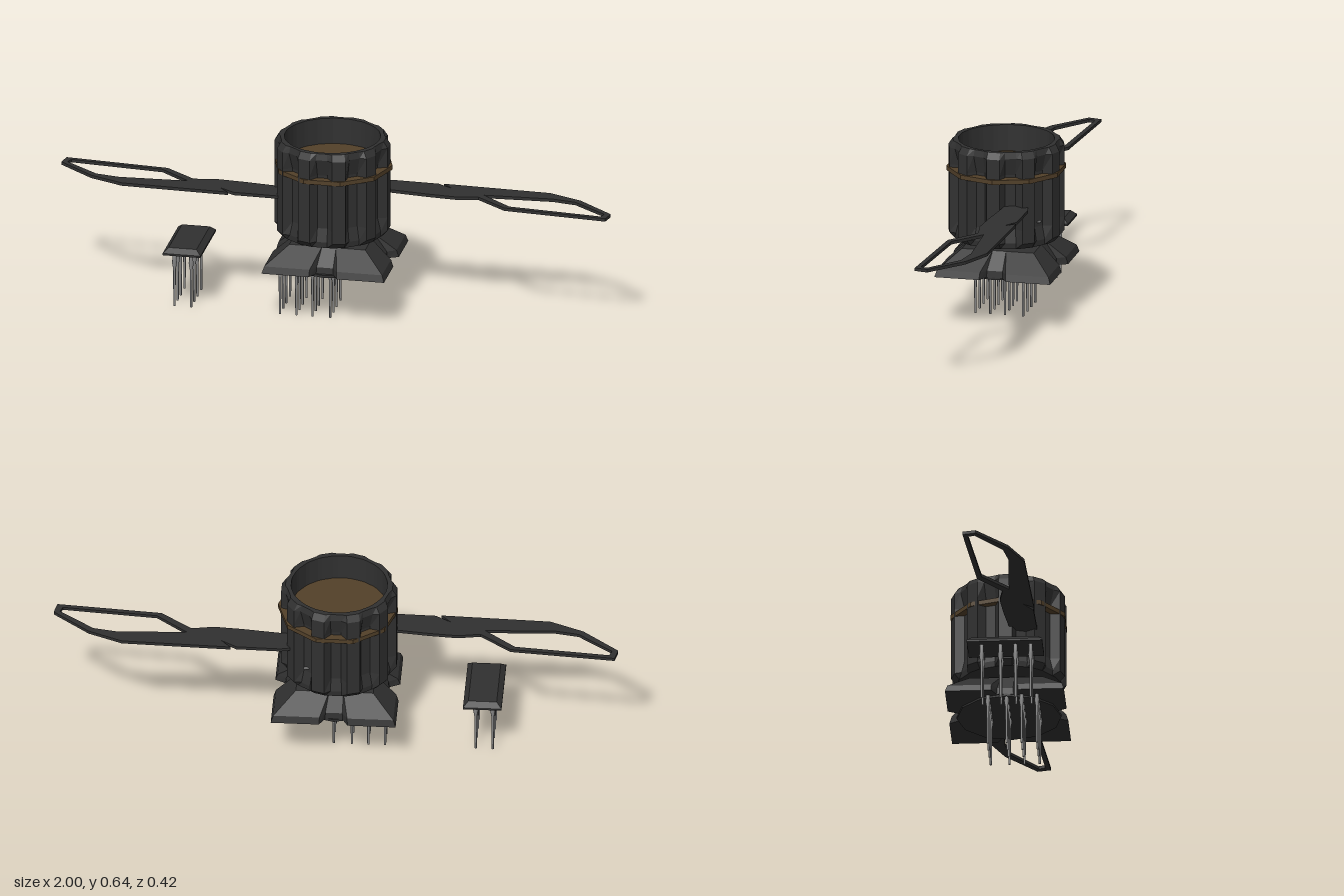
import * as THREE from 'three';

const dark = new THREE.MeshStandardMaterial({ color: 0x303030 });
dark.name = 'charcoal';
const brown = new THREE.MeshStandardMaterial({ color: 0x524029 });
brown.name = 'brown';
const grey = new THREE.MeshStandardMaterial({ color: 0x858585 });
grey.name = 'pinGrey';

function add(parent, name, geometry, material, x = 0, y = 0, z = 0) {
  const mesh = new THREE.Mesh(geometry, material);
  mesh.name = name;
  mesh.position.set(x, y, z);
  parent.add(mesh);
  return mesh;
}

// Faceted skin through equal-length loops of [x, y, z], counterclockwise from above
function loft(loops) {
  const pos = [];
  for (let i = 0; i < loops.length - 1; i++) {
    const a = loops[i], b = loops[i + 1], n = a.length;
    for (let j = 0; j < n; j++) {
      const k = (j + 1) % n;
      pos.push(...a[j], ...a[k], ...b[k], ...a[j], ...b[k], ...b[j]);
    }
  }
  const g = new THREE.BufferGeometry();
  g.setAttribute('position', new THREE.Float32BufferAttribute(pos, 3));
  g.computeVertexNormals();
  return g;
}

// One level of the ten-ribbed drum: raised ribs with recessed panels between
function ribLoop([y, ribR, panelR]) {
  const loop = [];
  for (let i = 0; i < 10; i++) {
    for (const [offset, r] of [[-0.115, ribR], [0.115, ribR], [0.21, panelR], [0.418, panelR]]) {
      const a = i * Math.PI / 5 + offset;
      loop.push([r * Math.cos(a), y, -r * Math.sin(a)]);
    }
  }
  return loop;
}

// One level of the square foot, with a notch in the middle of every side
function footLoop([y, h, notch]) {
  const loop = [];
  for (let k = 0; k < 4; k++) {
    const c = Math.round(Math.cos(k * Math.PI / 2)), s = Math.round(Math.sin(k * Math.PI / 2));
    const side = [[h, -h], [h, -0.23 * h], [h - notch, -0.14 * h], [h - notch, 0.14 * h], [h, 0.23 * h]];
    for (const [u, v] of side) loop.push([u * c - v * s, y, -(u * s + v * c)]);
  }
  return loop;
}

// Outlines are given as [x, z] seen from above
function outline(points, Type) {
  return new Type(points.map(([x, z]) => new THREE.Vector2(x, -z)));
}

function wingGeometry() {
  const shape = outline([
    [0.12, -0.03], [0.19, -0.03], [0.33, -0.015], [0.43, -0.008], [0.51, -0.022], [0.62, 0.062],
    [0.99, 0.092], [1, 0.045], [0.87, -0.062], [0.75, -0.113], [0.365, -0.125],
    [0.40, -0.088], [0.345, -0.122], [0.19, -0.125], [0.12, -0.11],
  ], THREE.Shape);
  shape.holes.push(outline([
    [0.525, -0.045], [0.635, 0.045], [0.97, 0.074], [0.978, 0.05], [0.855, -0.043], [0.77, -0.058],
  ], THREE.Path));
  const g = new THREE.ExtrudeGeometry(shape, { depth: 0.011, bevelEnabled: false });
  g.rotateX(-Math.PI / 2);
  return g;
}

export function createModel() {
  const model = new THREE.Group();
  model.name = 'wingedDrum';

  // Open drum
  const drum = new THREE.Group();
  drum.name = 'drum';
  drum.position.set(-0.011, 0, 0.001);
  model.add(drum);
  add(drum, 'ribbedShell', loft([
    [0.275, 0, 0], [0.275, 0.114, 0.114], [0.291, 0.187, 0.184], [0.312, 0.205, 0.186],
    [0.36, 0.205, 0.174], [0.56, 0.205, 0.174], [0.622, 0.205, 0.19], [0.645, 0.19, 0.184],
    [0.645, 0.17, 0.17], [0.535, 0.168, 0.168],
  ].map(ribLoop)), dark);

  // Brown plate inside the drum, its rim showing around the outside
  const plate = new THREE.CylinderGeometry(0.212, 0.212, 0.016, 10).toNonIndexed();
  plate.rotateY(Math.PI / 2);
  plate.computeVertexNormals();
  add(drum, 'innerPlate', plate, brown, 0.004, 0.542, 0);
  add(drum, 'sideMark', new THREE.BoxGeometry(0.02, 0.003, 0.012), grey, 0.107, 0.378, -0.144);

  // Foot below the drum
  add(model, 'neck', new THREE.CylinderGeometry(0.115, 0.125, 0.012, 10), dark, -0.011, 0.272, 0);
  add(model, 'foot', loft([
    [0.185, 0, 0], [0.185, 0.21, 0.035], [0.21, 0.202, 0.03], [0.272, 0.13, 0], [0.272, 0, 0],
  ].map(footLoop)), dark, -0.003, 0, -0.002).scale.x = 1.05;
  add(model, 'footPlate', new THREE.CylinderGeometry(0.185, 0.185, 0.009, 12), dark, -0.003, 0.1825, 0.002);

  // Pair of wings, the second turned half around
  const wing = wingGeometry();
  for (const side of ['left', 'right']) {
    const mesh = add(model, side + 'Wing', wing, dark, 0, 0.434, -0.007);
    mesh.geometry = wing.clone().translate(0, 0, 0.007);
    if (side === 'right') mesh.rotation.y = Math.PI;
  }

  // Separate small chip
  const chipLoop = ([y, w, d]) => [[w, y, d], [w, y, -d], [-w, y, -d], [-w, y, d]];
  add(model, 'chip', loft([
    [0.204, 0, 0], [0.204, 0.068, 0.133], [0.211, 0.068, 0.133], [0.228, 0.05, 0.115], [0.228, 0, 0],
  ].map(chipLoop)), dark, -0.523, 0, 0.019);

  // Tapered pins under the foot and the chip
  const pin = new THREE.LatheGeometry([
    [0, 0], [0.004, 0], [0.005, 0.14], [0.009, 0.165], [0.007, 0.178], [0.007, 0.206], [0, 0.206],
  ].map(([r, y]) => new THREE.Vector2(r, y)), 8);
  for (const z of [0.11, 0.056, 0.003, -0.063]) {
    for (const x of [-0.177, -0.118, -0.06, 0.004]) add(model, 'footPin', pin, grey, x, 0, z);
    for (const x of [-0.557, -0.497]) add(model, 'chipPin', pin, grey, x, 0, z);
  }
  return model;
}
